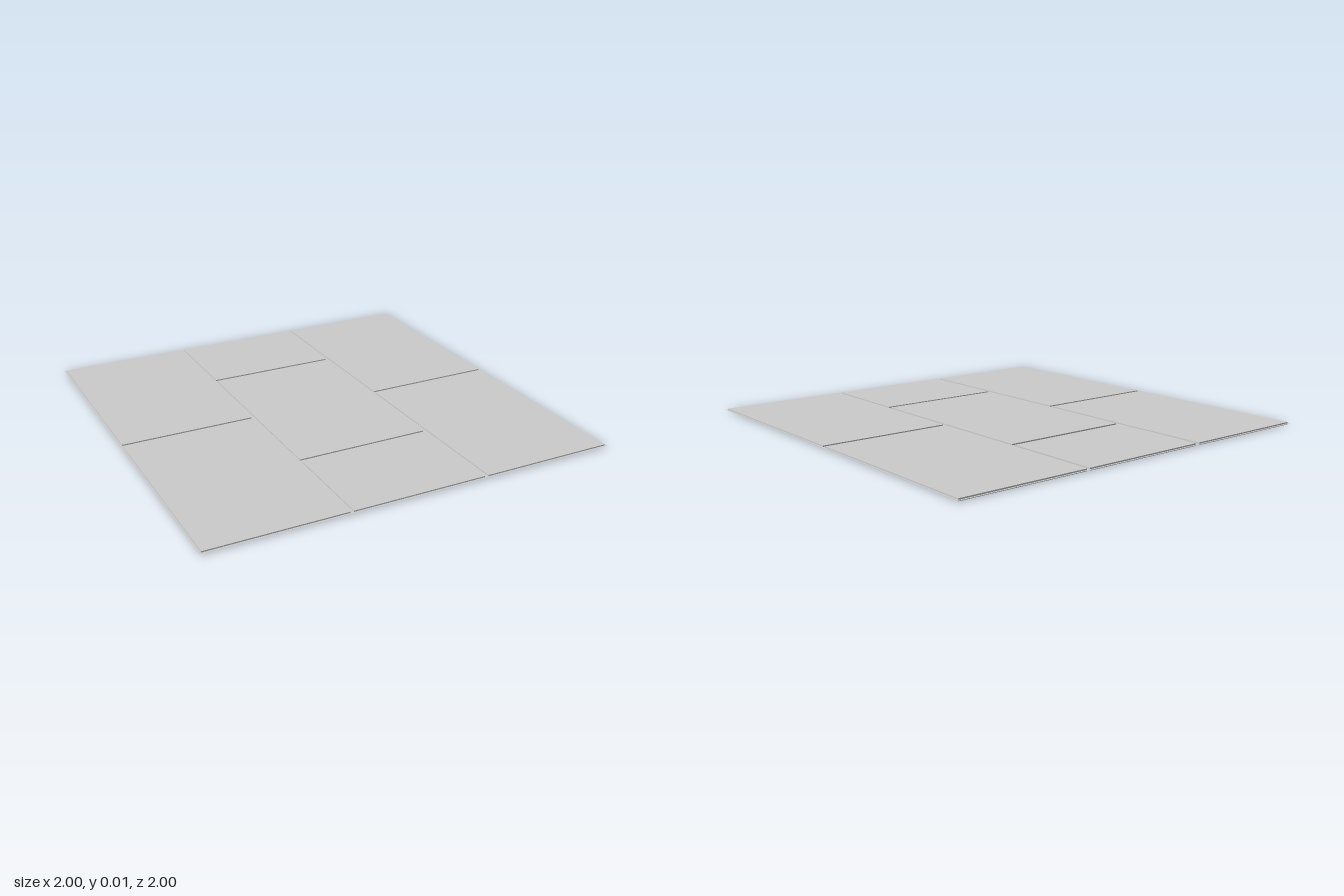
import * as THREE from 'three';

const THICKNESS = 0.012;
const GAP = 0.018;

export function createModel() {
  const group = new THREE.Group();
  group.name = 'tiledFloor';
  const material = new THREE.MeshStandardMaterial({ color: 0xcccccc, flatShading: true });

  // Thin grout sheet at mid height, visible in the joints from both sides
  const sheetMaterial = material.clone();
  sheetMaterial.side = THREE.DoubleSide;
  const grout = new THREE.Mesh(new THREE.PlaneGeometry(2, 2).rotateX(-Math.PI / 2), sheetMaterial);
  grout.name = 'groutSheet';
  grout.position.y = THICKNESS / 2;
  group.add(grout);

  // Three columns of slabs in running bond: joint positions along z per column
  const columns = [[-1, 0, 1], [-1, -0.5, 0.5, 1], [-1, 0, 1]];
  const pitch = 2 / 3;
  columns.forEach((joints, c) => {
    for (let i = 0; i < joints.length - 1; i++) {
      const length = joints[i + 1] - joints[i];
      const slab = new THREE.Mesh(
        new THREE.BoxGeometry(pitch - GAP, THICKNESS, length - GAP), material);
      slab.name = 'slab';
      slab.position.set((c - 1) * pitch, THICKNESS / 2, joints[i] + length / 2);
      group.add(slab);
    }
  });
  return group;
}
